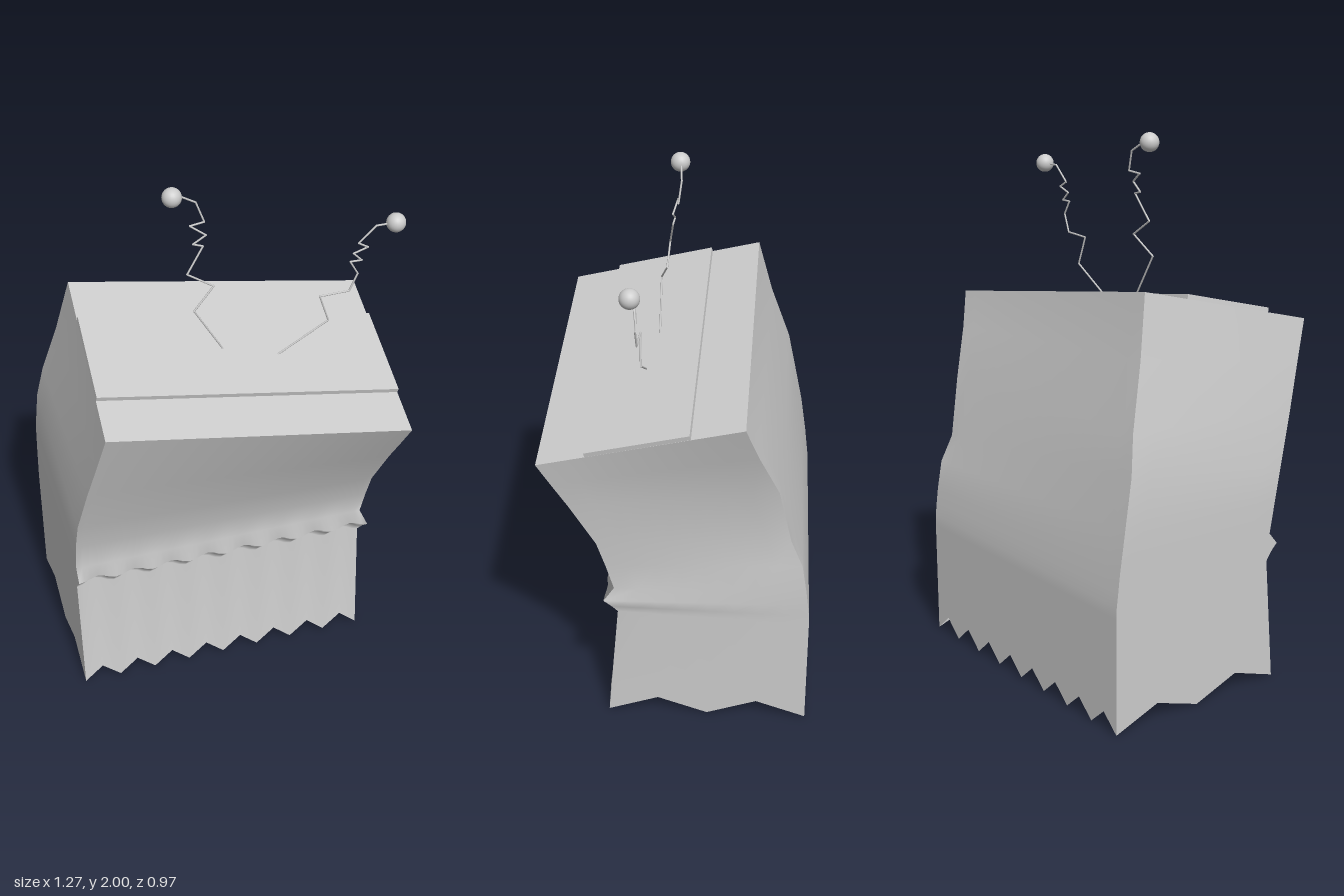
import * as THREE from 'three';
import { mergeGeometries } from 'three/addons/utils/BufferGeometryUtils.js';

const V = (p) => new THREE.Vector3(...p);
const material = new THREE.MeshStandardMaterial({ color: 0xcccccc, side: THREE.DoubleSide });

// The four upright corner edges of the bag, bottom to top, row by row
const frontLeft = [
  [0.5, 0, 0.262], [0.5, 0.47, 0.22], [0.512, 0.5, 0.24], [0.52, 0.53, 0.27], [0.5, 0.575, 0.232],
  [0.507, 0.68, 0.26], [0.515, 0.78, 0.29], [0.537, 0.95, 0.38], [0.555, 1.05, 0.435], [0.57, 1.14, 0.484],
].map(V);
const frontRight = [
  [-0.635, 0, 0.262], [-0.635, 0.47, 0.22], [-0.635, 0.5, 0.24], [-0.635, 0.53, 0.27], [-0.635, 0.575, 0.232],
  [-0.635, 0.7, 0.255], [-0.628, 0.82, 0.285], [-0.598, 1.02, 0.355], [-0.57, 1.18, 0.412], [-0.545, 1.33, 0.465],
].map(V);
const backLeft = [
  [0.5, 0, -0.485], [0.5, 0.44, -0.485], [0.5, 0.48, -0.484], [0.5, 0.53, -0.478], [0.5, 0.59, -0.47],
  [0.496, 0.7, -0.452], [0.483, 0.8, -0.408], [0.508, 1.02, -0.36], [0.57, 1.2, -0.285], [0.615, 1.33, -0.24],
].map(V);
const backRight = [
  [-0.635, 0, -0.485], [-0.635, 0.44, -0.485], [-0.635, 0.48, -0.484], [-0.635, 0.53, -0.478], [-0.635, 0.6, -0.47],
  [-0.635, 0.75, -0.448], [-0.624, 0.93, -0.412], [-0.598, 1.07, -0.385], [-0.545, 1.3, -0.31], [-0.5, 1.52, -0.255],
].map(V);

// Wall between two edges (a on the left, b on the right, seen from outside)
function wall(name, a, b, teeth, perTooth, scallop = [0, 0, 0, 0, 0]) {
  const cols = teeth * perTooth, pos = [], index = [];
  a.forEach((p, r) => {
    for (let c = 0; c <= cols; c++) {
      const u = c / cols, q = p.clone().lerp(b[r], u);
      const phase = (c % perTooth) / perTooth;
      if (r === 0) q.y += 0.065 * (1 - Math.abs(1 - 2 * phase));
      // scalloped fold
      const wave = (scallop[r] || 0) * (1 - Math.cos(2 * Math.PI * phase)) / 2;
      q.y += wave;
      q.z -= wave * 0.6;
      pos.push(q.x, q.y, q.z);
      if (r > 0 && c > 0) {
        const i = r * (cols + 1) + c, d = i - cols - 1;
        index.push(d - 1, d, i, d - 1, i, i - 1);
      }
    }
  });
  const g = new THREE.BufferGeometry();
  g.setAttribute('position', new THREE.Float32BufferAttribute(pos, 3));
  g.setIndex(index);
  g.computeVertexNormals();
  const mesh = new THREE.Mesh(g, material);
  mesh.name = name;
  return mesh;
}

// Wire of straight pieces with a ball on its end
function antenna(name, points) {
  const group = new THREE.Group();
  group.name = name;
  const pts = points.map(V), up = new THREE.Vector3(0, 1, 0), parts = [];
  for (let i = 1; i < pts.length; i++) {
    const dir = pts[i].clone().sub(pts[i - 1]), length = dir.length();
    const g = new THREE.CylinderGeometry(0.0035, 0.0035, length + 0.003, 6);
    g.applyQuaternion(new THREE.Quaternion().setFromUnitVectors(up, dir.normalize()));
    const mid = pts[i].clone().lerp(pts[i - 1], 0.5);
    parts.push(g.translate(mid.x, mid.y, mid.z));
  }
  const wire = new THREE.Mesh(mergeGeometries(parts), material);
  wire.name = 'wire';
  const ball = new THREE.Mesh(new THREE.SphereGeometry(0.035, 24, 16), material);
  ball.name = 'antennaBall';
  ball.position.copy(pts[pts.length - 1]);
  group.add(wire, ball);
  return group;
}

export function createModel() {
  const model = new THREE.Group();
  model.name = 'paperBag';

  // Open-bottomed bag with a zigzag hem
  model.add(
    wall('frontWall', frontRight, frontLeft, 8, 6, [0, 0.02, 0.022, 0.015, 0]),
    wall('leftWall', frontLeft, backLeft, 2, 4),
    wall('backWall', backLeft, backRight, 8, 2),
    wall('rightWall', backRight, frontRight, 2, 4),
  );

  // Tilted flat top
  const [fl, fr, bl, br] = [frontLeft, frontRight, backLeft, backRight].map((e) => e[e.length - 1]);
  const topGeo = new THREE.BufferGeometry().setFromPoints([fr, fl, bl, fr, bl, br]);
  topGeo.computeVertexNormals();
  const top = new THREE.Mesh(topGeo, material);
  top.name = 'top';
  model.add(top);

  // Folded flap lying across the top, aligned to its slope
  const across = fl.clone().sub(fr), depth = fr.clone().sub(br);
  const normal = depth.clone().cross(across).normalize();
  const flap = new THREE.Mesh(new THREE.BoxGeometry(1, 1, 1), material);
  flap.name = 'flap';
  flap.geometry.applyMatrix4(new THREE.Matrix4()
    .makeBasis(across, normal.clone().multiplyScalar(0.017), depth.clone().multiplyScalar(0.507))
    .setPosition(br.clone().addScaledVector(across, 0.5).addScaledVector(depth, 0.505).addScaledVector(normal, 0.0085)));
  flap.geometry.computeVertexNormals();
  model.add(flap);

  // Two crooked antennae
  model.add(
    antenna('rightAntenna', [
      [-0.013, 1.35, 0.096], [-0.125, 1.54, 0.096], [-0.045, 1.614, 0.07], [-0.14, 1.675, 0.065],
      [-0.077, 1.77, 0.05], [-0.112, 1.78, 0.045], [-0.066, 1.812, 0.05], [-0.12, 1.848, 0.035],
      [-0.066, 1.853, 0.03], [-0.093, 1.928, 0.02], [-0.15, 1.963, 0.025], [-0.18, 1.966, 0.03]]),
    antenna('leftAntenna', [
      [0.167, 1.31, 0.13], [0.368, 1.43, 0.132], [0.33, 1.54, 0.135], [0.44, 1.545, 0.138],
      [0.468, 1.614, 0.14], [0.437, 1.667, 0.14], [0.48, 1.667, 0.141], [0.447, 1.7, 0.142],
      [0.5, 1.718, 0.143], [0.463, 1.74, 0.144], [0.526, 1.8, 0.144], [0.6, 1.8, 0.143]]),
  );
  return model;
}
